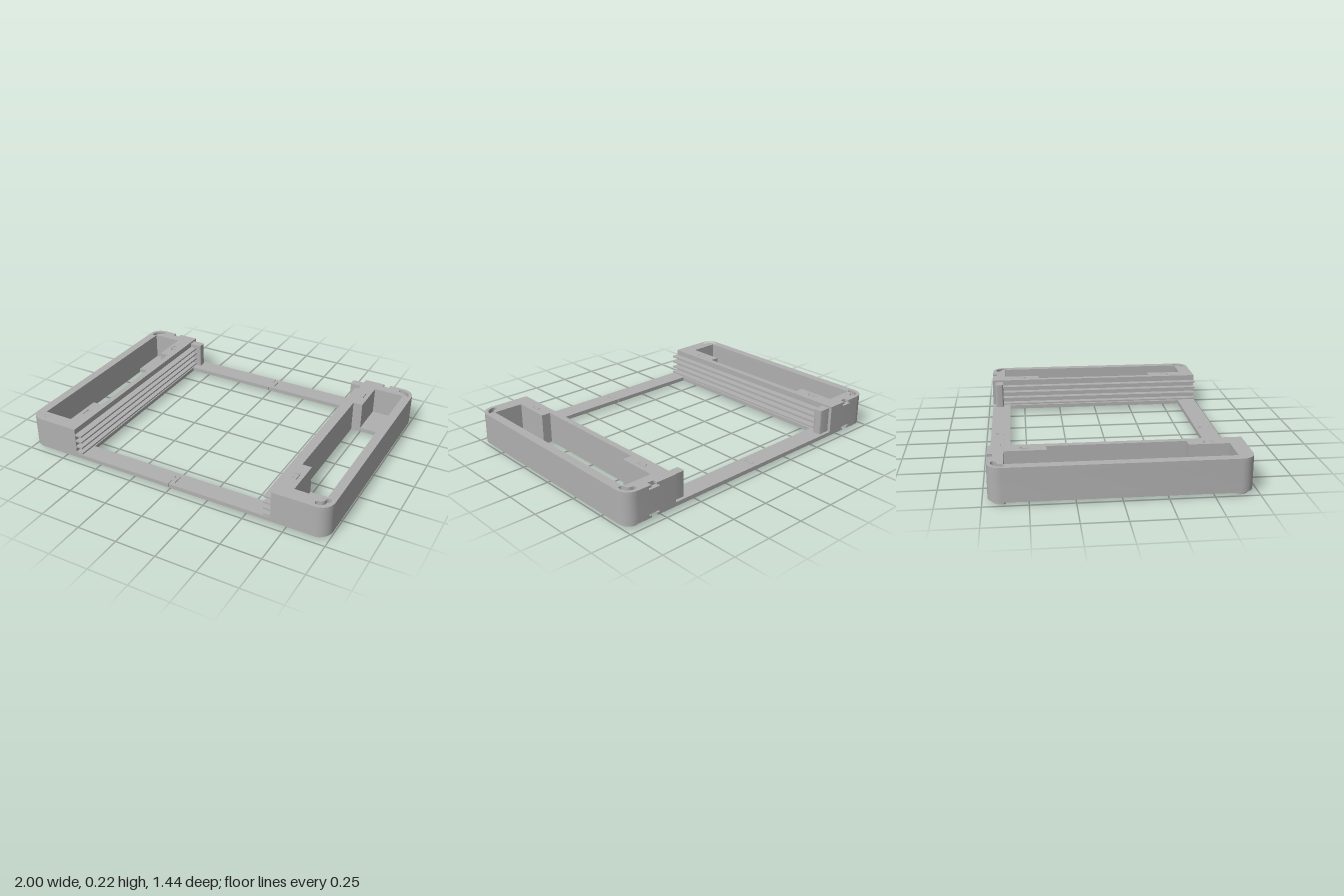
import * as THREE from 'three';
import { toCreasedNormals } from 'three/addons/utils/BufferGeometryUtils.js';

const grey = new THREE.MeshStandardMaterial({ color: 0xb0b0b0 });
grey.name = 'grey plastic';

const BASE = 0.02, FLOOR = 0.045, TOP = 0.216;
const DEPTH = 0.72, INNER = 0.698, CORNER = 0.08;

// Points of an arc, in the plan (x, z)
function arc(cx, cz, r, a0, a1, n = 10) {
  const pts = [];
  for (let i = 0; i <= n; i++) {
    const a = a0 + (a1 - a0) * i / n;
    pts.push([cx + r * Math.cos(a), cz + r * Math.sin(a)]);
  }
  return pts;
}

const toVectors = (pts, side) => pts.map(([x, z]) => new THREE.Vector2(side * x, z));

// Plan outline extruded upright from y0 to y1; side -1 mirrors it
function slab(name, side, pts, y0, y1, holes = []) {
  const shape = new THREE.Shape(toVectors(pts, side));
  for (const hole of holes) shape.holes.push(new THREE.Path(toVectors(hole, side)));
  const geo = new THREE.ExtrudeGeometry(shape, { depth: y1 - y0, bevelEnabled: false });
  geo.rotateX(Math.PI / 2).translate(0, y1, 0);
  const mesh = new THREE.Mesh(toCreasedNormals(geo, 0.5), grey);
  mesh.name = name;
  return mesh;
}

function box(name, side, x0, x1, y0, y1, z0, z1) {
  const mesh = new THREE.Mesh(new THREE.BoxGeometry(x1 - x0, y1 - y0, z1 - z0), grey);
  mesh.position.set(side * (x0 + x1) / 2, (y0 + y1) / 2, (z0 + z1) / 2);
  mesh.name = name;
  return mesh;
}

// Dovetail pointing to +x, listed from high z to low z
function dovetail(x, z, gap = 0) {
  return [[x, z + 0.017 - gap], [x + 0.032 - gap, z + 0.033 - gap],
    [x + 0.032 - gap, z - 0.033 + gap], [x, z - 0.017 + gap]];
}

// Curved slot that follows a housing corner
function cornerSlot(zSign) {
  const cx = 0.917, cz = 0.638, mid = 0.045, half = 0.016, q = Math.PI / 2;
  const pts = [
    ...arc(cx, cz, mid + half, 0, q),
    ...arc(cx, cz + mid, half, q, 3 * q, 6),
    ...arc(cx, cz, mid - half, q, 0),
    ...arc(cx + mid, cz, half, -2 * q, 0, 6),
  ];
  return pts.map(([x, z]) => [x, zSign * z]);
}

// C-shaped housing outline; notch is the half width of the back slot
function housingOutline(isFloor, notch) {
  const c = 1 - CORNER, d = DEPTH - CORNER, q = Math.PI / 2;
  const back = notch
    ? [[0.81 - notch, -DEPTH], [0.81 - notch, -0.69], [0.81 + notch, -0.69], [0.81 + notch, -DEPTH]]
    : [];
  const pocket = isFloor
    ? [[INNER, -0.395], [0.945, -0.395], [0.945, 0.395], [INNER, 0.395]]
    : [[INNER, -0.395], [0.757, -0.395], [0.757, -0.63], [0.945, -0.63],
      [0.945, 0.63], [0.757, 0.63], [0.757, 0.395], [INNER, 0.395]];
  return [
    [INNER, -DEPTH], ...back,
    ...arc(c, -d, CORNER, -q, 0), ...arc(c, d, CORNER, 0, q),
    [INNER, DEPTH],
    ...dovetail(INNER, 0.515),
    ...pocket.reverse(),
    ...dovetail(INNER, -0.515),
  ];
}

function buildSide(side) {
  const group = new THREE.Group();
  group.name = side > 0 ? 'leftHousing' : 'rightHousing';

  // Housing layers: T-shaped back slots at the bottom and top, corner recesses on top
  const slots = [cornerSlot(1), cornerSlot(-1)];
  const layers = [
    ['floorLower', true, 0.02, BASE, 0.034, []],
    ['floorUpper', true, 0.035, 0.034, FLOOR, []],
    ['walls', false, 0, FLOOR, 0.19, []],
    ['rimLower', false, 0.035, 0.19, 0.202, slots],
    ['rimUpper', false, 0.02, 0.202, TOP, slots],
  ];
  for (const [name, isFloor, notch, y0, y1, holes] of layers) {
    group.add(slab(name, side, housingOutline(isFloor, notch), y0, y1, holes));
  }

  // Feet and dovetail keys
  for (const s of [1, -1]) {
    group.add(slab('foot', side, cornerSlot(s), 0, BASE));
    group.add(slab('dovetailKey', side, dovetail(INNER, s * 0.515, 0.004), BASE, TOP));
  }

  // Rail wall with its base, thin guide fins and the stop at the back
  group.add(box('railWall', side, 0.66, INNER, BASE, TOP, -DEPTH, DEPTH));
  group.add(box('railBase', side, 0.612, 0.66, BASE, FLOOR, -DEPTH, DEPTH));
  for (let i = 0; i < 4; i++) {
    const y = 0.055 + i * 0.04;
    group.add(box('guideFin', side, 0.615, 0.66, y - 0.005, y + 0.005, -0.65, DEPTH));
  }
  group.add(slab('railStop', side, [
    ...arc(0.59, -0.69, 0.01, -Math.PI, -Math.PI / 2, 4),
    [0.66, -0.7], [0.66, -0.647],
    ...arc(0.59, -0.657, 0.01, Math.PI / 2, Math.PI, 4),
  ], FLOOR, 0.204));
  return group;
}

// Cross bar in two halves joined by a dovetail
function buildBar(name, zSign) {
  const group = new THREE.Group();
  group.name = name;
  const z0 = Math.min(zSign * 0.6, zSign * DEPTH), z1 = z0 + 0.12, z = zSign * 0.66;
  group.add(slab('barTongueHalf', 1,
    [[-0.612, z0], [-0.612, z1], [-0.001, z1], ...dovetail(-0.001, z, 0.003), [-0.001, z0]], BASE, FLOOR));
  group.add(slab('barSocketHalf', 1,
    [[0.612, z0], [0.612, z1], [0.001, z1], ...dovetail(0.001, z), [0.001, z0]], BASE, FLOOR));
  return group;
}

export function createModel() {
  const model = new THREE.Group();
  model.name = 'rackFrame';
  model.add(buildSide(1), buildSide(-1));
  model.add(buildBar('frontBar', 1), buildBar('backBar', -1));
  return model;
}
